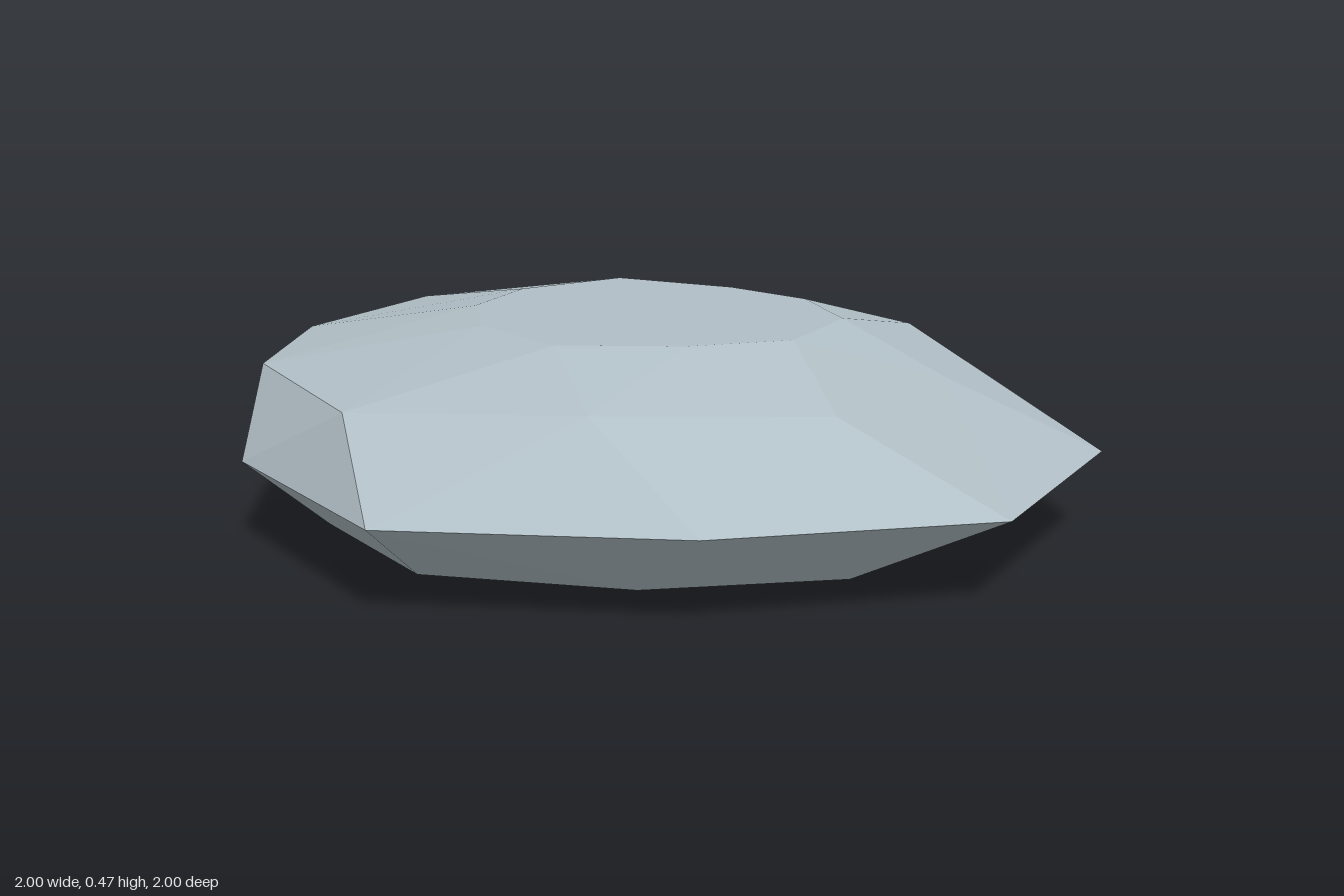
import * as THREE from 'three';

const stone = new THREE.MeshStandardMaterial({ color: 0xb0bec5 });
stone.name = 'paleStone';
stone.flatShading = true;

// Ten-sided rings of [x, z] corners, starting at the back and going round by +x
const base = [[-0.46, -0.77], [0.05, -0.73], [0.43, -0.57], [0.65, -0.21], [0.61, 0.29],
  [0.24, 0.56], [-0.23, 0.68], [-0.62, 0.46], [-0.78, 0.07], [-0.75, -0.37]];
const rim = [[-0.62, -1], [0.06, -0.96], [0.64, -0.76], [1, -0.26], [0.98, 0.37],
  [0.49, 0.78], [-0.13, 1], [-0.69, 0.68], [-0.98, 0.16], [-1, -0.44]];
const shoulder = [[-0.58, -0.86], [-0.04, -0.78], [0.42, -0.58], [0.66, -0.15], [0.6, 0.36],
  [0.18, 0.66], [-0.33, 0.79], [-0.77, 0.49], [-0.96, 0.05], [-0.93, -0.43]];
const crown = [[-0.33, -0.44], [-0.01, -0.44], [0.22, -0.37], [0.4, -0.17], [0.4, 0.12],
  [0.22, 0.29], [-0.04, 0.41], [-0.3, 0.29], [-0.45, 0.08], [-0.47, -0.18]];

const rimY = [0.19, 0.19, 0.195, 0.2, 0.2, 0.205, 0.2, 0.195, 0.19, 0.19];
const shoulderY = [0.375, 0.385, 0.39, 0.36, 0.37, 0.39, 0.37, 0.375, 0.37, 0.375];

const lift = (ring, height) => ring.map(([x, z], i) =>
  [x, Array.isArray(height) ? height[i] : height, z]);

// Facets between two rings; leanBack picks which way each quad is split
function band(lower, upper, leanBack) {
  const out = [];
  lower.forEach((a, i) => {
    const j = (i + 1) % lower.length;
    const b = lower[j], c = upper[i], d = upper[j];
    if (leanBack) out.push(b, a, c, b, c, d);
    else out.push(b, a, d, a, c, d);
  });
  return out;
}

// Flat cap as a fan, facing up or down
function cap(ring, up) {
  const out = [];
  for (let i = 1; i < ring.length - 1; i++) {
    if (up) out.push(ring[0], ring[i + 1], ring[i]);
    else out.push(ring[0], ring[i], ring[i + 1]);
  }
  return out;
}

export function createModel() {
  const group = new THREE.Group();
  group.name = 'flatRock';

  const b = lift(base, 0), r = lift(rim, rimY);
  const s = lift(shoulder, shoulderY), c = lift(crown, 0.47);

  const parts = {
    underside: [...cap(b, false), ...band(b, r, false)],
    sides: band(r, s, true),
    top: [...band(s, c, false), ...cap(c, true)],
  };
  for (const [name, corners] of Object.entries(parts)) {
    const geometry = new THREE.BufferGeometry();
    geometry.setAttribute('position', new THREE.Float32BufferAttribute(corners.flat(), 3));
    geometry.computeVertexNormals();
    const mesh = new THREE.Mesh(geometry, stone);
    mesh.name = name;
    group.add(mesh);
  }
  return group;
}
